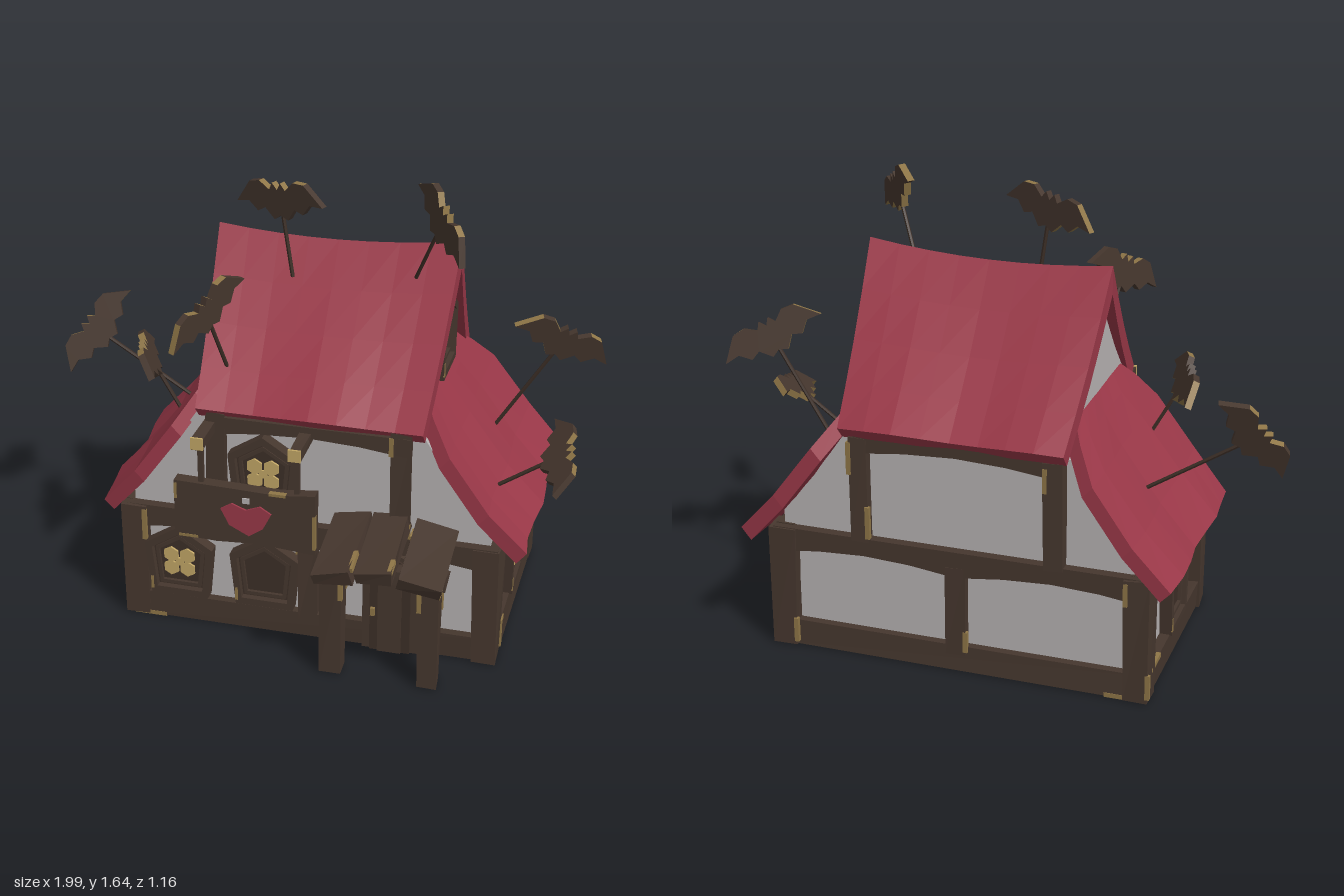
import * as THREE from 'three';

const mat = (name, color, side = THREE.FrontSide) =>
  Object.assign(new THREE.MeshStandardMaterial({ color, side, flatShading: true }), { name });

export function createModel() {
  const wood = mat('dark wood', 0x46372e);
  const panel = mat('shaded wood', 0x3d2f27);
  const worn = mat('worn wood edge', 0x8f7647);
  const gold = mat('pale gold', 0xc2a766);
  const red = mat('red roof', 0x9a3848);
  const plaster = mat('grey plaster', 0xb7b3b3, THREE.DoubleSide);

  const root = new THREE.Group();
  root.name = 'cottage';
  const house = new THREE.Group();
  house.name = 'house';
  house.position.x = 0.05;
  root.add(house);

  let seed = 7;
  const rnd = () => (seed = (seed * 16807) % 2147483647) / 2147483647;

  function add(parent, name, geo, material, x = 0, y = 0, z = 0) {
    const m = new THREE.Mesh(geo, material);
    m.name = name;
    m.position.set(x, y, z);
    parent.add(m);
    return m;
  }

  // Hand-hewn beam between two corners, with worn slivers on its edges
  function beam(parent, name, a, b, chips = 2, rough = 0.006) {
    const size = a.map((v, i) => b[i] - v), mid = a.map((v, i) => (b[i] + v) / 2);
    const geo = new THREE.BoxGeometry(...size), p = geo.attributes.position;
    const jig = Array.from({ length: 24 }, () => (rnd() - 0.5) * 2 * rough);
    for (let i = 0; i < p.count; i++) {
      const c = ((p.getX(i) > 0) + 2 * (p.getY(i) > 0) + 4 * (p.getZ(i) > 0)) * 3;
      const base = p.getY(i) + mid[1] < 0.001; // keep feet on the ground
      p.setXYZ(i, p.getX(i) + jig[c], p.getY(i) + (base ? 0 : jig[c + 1]), p.getZ(i) + jig[c + 2]);
    }
    const m = add(parent, name, geo, wood, ...mid);
    const long = size.indexOf(Math.max(...size));
    for (let k = 0; k < chips; k++) {
      const cs = size.map((s, i) => (i === long ? Math.min(0.12, s * (0.12 + 0.2 * rnd())) : 0.016));
      const pos = size.map((s, i) => (rnd() < 0.5 ? -1 : 1) * (s / 2 - cs[i] / 2 + (i === long ? -0.015 : 0.004)));
      add(m, 'wornEdge', new THREE.BoxGeometry(...cs), worn, ...pos);
    }
    return m;
  }

  const shape = (pts) => new THREE.Shape(pts.map(([x, y]) => new THREE.Vector2(x, y)));
  const mirrored = (half) => shape([...half, ...half.filter(([x]) => x > 0).reverse().map(([x, y]) => [-x, y])]);
  const extrude = (s, depth) => new THREE.ExtrudeGeometry(s, { depth, bevelEnabled: false });

  // Beam whose underside rises in an arch over each bay
  function archedBeam(name, x, y0, y1, z0, z1, bays) {
    const pts = [[x, y1], [-x, y1]], n = bays * 4;
    for (let i = 0; i <= n; i++) pts.push([-x + (2 * x * i) / n, y0 + 0.03 * Math.sin(((i % 4) / 4) * Math.PI)]);
    add(house, name, extrude(shape(pts), z1 - z0), wood, 0, 0, z0);
  }

  // ---- Plaster walls
  const outline = [[0.64, 0], [0.64, 0.5], [0.52, 0.65], [0.4, 0.83]];
  for (const z of [0.22, -0.49]) add(house, 'longWall', extrude(mirrored(outline), 0.02), plaster, 0, 0, z);
  for (const s of [-1, 1]) {
    add(house, 'sideWall', new THREE.BoxGeometry(0.02, 0.5, 0.7), plaster, s * 0.63, 0.25, -0.125);
    const gable = add(house, 'gableWall', extrude(shape([[-0.37, 0.83], [0.37, 0.83], [0, 1.3]]), 0.02), plaster, s * 0.37 - 0.01, 0, -0.13);
    gable.rotation.y = Math.PI / 2;
  }

  // ---- Timber frame
  for (const s of [-1, 1]) {
    const side = (name, x0, x1, y0, y1, z0, z1) =>
      beam(house, name, [Math.min(s * x0, s * x1), y0, z0], [Math.max(s * x0, s * x1), y1, z1]);
    side('frontCornerPost', 0.59, 0.68, 0, 0.45, 0.18, 0.285);
    side('backCornerPost', 0.59, 0.68, 0, 0.45, -0.535, -0.45);
    side('sideSill', 0.6, 0.675, 0, 0.1, -0.5, 0.25);
    side('sideTopBeam', 0.6, 0.67, 0.38, 0.45, -0.5, 0.25);
    side('upperFrontPost', 0.29, 0.36, 0.44, 0.85, 0.2, 0.275);
    side('upperBackPost', 0.31, 0.38, 0.44, 0.82, -0.53, -0.45);
  }
  for (const [z0, z1] of [[0.2, 0.275], [-0.525, -0.45]]) {
    beam(house, 'sill', [-0.66, 0, z0], [0.66, 0.09, z1]);
    archedBeam('floorBeam', 0.67, 0.355, 0.45, z0, z1, 2);
    archedBeam('eaveBeam', 0.36, 0.765, 0.835, z0, z1, 1);
    beam(house, 'middlePost', [-0.035, 0.06, z0], [0.04, 0.39, z1]);
  }

  // ---- Roofs: boxes bent by a rule
  function slab(name, nu, nv, f) {
    const geo = new THREE.BoxGeometry(1, 1, 1, nu, 1, nv), p = geo.attributes.position;
    for (let i = 0; i < p.count; i++) p.setXYZ(i, ...f(p.getX(i) * 2, p.getZ(i) * 2, p.getY(i) < 0));
    return add(house, name, geo, red);
  }
  slab('mainRoof', 8, 8, (u, v, under) => {
    const a = Math.abs(v), s = Math.sign(v);
    const wave = 0.012 * Math.sin(u * 5 + s) * a;
    const x = u * (0.43 - 0.035 * a) + 0.008;
    const y = 1.36 + 0.03 * u * u * (1 - a) + 0.008 * u * (1 - a) - 0.495 * a - 0.025 * Math.sin(a * Math.PI) + wave * 0.6;
    const z = -0.135 + s * (0.425 * a + wave);
    return under ? [x, y - 0.1 + 0.055 * a, z - s * 0.04 * a] : [x, y, z];
  });
  // slope rows: x, y, front z, back z
  const rows = [[0.37, 0.95, 0.12, -0.39], [0.42, 0.88, 0.2, -0.48], [0.49, 0.78, 0.272, -0.57],
    [0.63, 0.59, 0.285, -0.58], [0.76, 0.445, 0.26, -0.568]];
  for (const s of [1, -1]) {
    slab('sideRoof', 4, 7, (u, v, under) => {
      const [x, y, zf, zb] = rows[Math.round((u + 1) * 2)];
      const w = 0.005 * Math.sin(v * 6 + s) * (u + 1);
      const z = zb + (zf - zb) * (v + 1) / 2;
      return under ? [x + w - 0.035, y - 0.04, z] : [x + w, y + w * 0.5, z];
    }).scale.x = s;
  }

  // ---- Five-sided shuttered windows
  const pent = (k) => shape([[-0.105, 0], [0.105, 0], [0.125, 0.2], [0, 0.28], [-0.125, 0.2]]
    .map(([x, y]) => [x * k, 0.13 + (y - 0.13) * k]));
  const ring = (outer, inner) => { outer.holes.push(inner); return outer; };
  function windowAt(x, y, z, turn, flower) {
    const g = new THREE.Group();
    g.name = 'window';
    g.position.set(x, y, z);
    g.rotation.y = turn;
    add(g, 'windowFrame', extrude(ring(pent(1), pent(0.8)), 0.045), wood);
    add(g, 'shutter', extrude(pent(0.82), 0.02), panel);
    add(g, 'innerFrame', extrude(ring(pent(0.72), pent(0.62)), 0.032), wood);
    add(g, 'wornEdge', new THREE.BoxGeometry(0.01, 0.05, 0.006), worn, -0.102, 0.04, 0.044);
    if (flower) {
      // four touching petals
      for (const [px, py] of [[-1, -1], [1, -1], [-1, 1], [1, 1]]) {
        const leaf = add(g, 'goldPetal', new THREE.CylinderGeometry(0.03, 0.03, 0.008, 6), gold,
          px * 0.03, 0.135 + py * 0.027, 0.036);
        leaf.rotation.x = Math.PI / 2;
      }
      add(g, 'petalCentre', new THREE.BoxGeometry(0.03, 0.03, 0.008), gold, 0, 0.135, 0.036);
    }
    house.add(g);
  }
  windowAt(-0.47, 0.1, 0.24, 0, true);
  windowAt(-0.155, 0.1, 0.24, 0, false);
  windowAt(-0.155, 0.5, 0.24, 0, true);
  windowAt(0.64, 0.1, -0.13, Math.PI / 2, true);
  windowAt(-0.64, 0.1, -0.13, -Math.PI / 2, false);
  windowAt(0.365, 0.92, -0.13, Math.PI / 2, false);

  // ---- Door
  const arch = (k) => mirrored([[0.1 * k, 0], [0.1 * k, 0.27], [0.068 * k, 0.33 + 0.04 * k], [0, 0.36 + 0.04 * k]]);
  add(root, 'doorFrame', extrude(arch(1), 0.05), wood, 0.355, 0, 0.24);
  add(root, 'doorLeaf', extrude(arch(0.72), 0.008), panel, 0.355, 0, 0.29);
  add(root, 'doorPlank', extrude(arch(0.42), 0.007), wood, 0.355, 0, 0.298);
  add(root, 'doorKnob', new THREE.BoxGeometry(0.016, 0.03, 0.016), worn, 0.295, 0.16, 0.302);
  add(root, 'wornEdge', new THREE.BoxGeometry(0.05, 0.01, 0.008), worn, 0.335, 0.372, 0.29);

  // ---- Porch
  beam(root, 'porchLeg', [0.15, 0, 0.41], [0.225, 0.42, 0.48]);
  beam(root, 'porchLeg', [0.49, 0, 0.41], [0.56, 0.42, 0.48]);
  beam(root, 'porchBeam', [0.14, 0.39, 0.41], [0.58, 0.435, 0.47]);
  for (const x of [0.19, 0.525]) beam(root, 'porchBrace', [x - 0.025, 0.37, 0.25], [x + 0.025, 0.42, 0.34]).rotation.x = -0.6;
  for (const [x, w, y, z, tilt] of [[0.21, 0.14, 0.46, 0.4, 0.2], [0.35, 0.125, 0.48, 0.405, 0.12], [0.505, 0.15, 0.473, 0.42, -0.2]]) {
    const plank = beam(root, 'porchPlank', [x - w / 2, y - 0.025, z - 0.155], [x + w / 2, y + 0.025, z + 0.155]);
    plank.rotation.set(0.2, 0, tilt);
  }

  // ---- Hanging sign
  const board = extrude(shape([[-0.25, -0.1], [-0.1, -0.105], [0.05, -0.095], [0.25, -0.11], [0.25, 0.12],
    [0.12, 0.105], [-0.05, 0.11], [-0.25, 0.115]]), 0.045);
  add(root, 'signBoard', board, wood, -0.138, 0.525, 0.355);
  add(root, 'signEmblem', extrude(shape([[-0.09, 0.03], [-0.05, 0.055], [0, 0.035], [0.05, 0.055], [0.09, 0.03],
    [0.06, -0.03], [0.01, -0.065], [-0.06, -0.03]]), 0.007), red, -0.13, 0.525, 0.4);
  add(root, 'signStud', new THREE.BoxGeometry(0.025, 0.02, 0.007), plaster, -0.13, 0.595, 0.402);
  for (const [x, y, w, h] of [[-0.383, 0.6, 0.01, 0.06], [0.108, 0.5, 0.01, 0.13], [-0.02, 0.63, 0.06, 0.01], [-0.34, 0.428, 0.07, 0.01]])
    add(root, 'wornEdge', new THREE.BoxGeometry(w, h, 0.02), worn, x, y, 0.392);
  for (const x of [-0.295, 0.045]) {
    beam(root, 'signArm', [x - 0.02, 0.775, 0.24], [x + 0.02, 0.815, 0.415], 0, 0.002);
    add(root, 'armEnd', new THREE.BoxGeometry(0.044, 0.044, 0.008), gold, x, 0.8, 0.417);
    add(root, 'signHanger', new THREE.BoxGeometry(0.018, 0.16, 0.018), wood, x, 0.705, 0.378);
  }

  // ---- Bats on sticks: stick foot, one wing tip, other wing tip
  const batShape = mirrored([[0, 0.03], [0.018, 0.055], [0.035, 0.03], [0.075, 0.06], [0.12, 0.055], [0.19, -0.02],
    [0.135, -0.015], [0.1, -0.05], [0.065, -0.035], [0.03, -0.075], [0, -0.06]]);
  const bats = [
    [[-0.08, 1.25, -0.03], [-0.3, 1.5, -0.12], [0.05, 1.56, 0.04]],
    [[0.345, 1.28, -0.06], [0.36, 1.61, -0.09], [0.54, 1.45, 0.16]],
    [[-0.26, 0.98, 0.17], [-0.37, 1.15, 0.43], [-0.22, 1.31, 0.14]],
    [[-0.52, 0.64, -0.23], [-0.98, 0.74, -0.16], [-0.8, 1.01, -0.29]],
    [[-0.46, 0.71, 0.05], [-0.645, 0.92, -0.12], [-0.52, 0.945, 0.24]],
    [[0.6, 0.65, -0.23], [0.69, 1.12, -0.15], [0.99, 0.95, -0.29]],
    [[0.67, 0.58, 0.05], [0.86, 0.78, -0.12], [0.91, 0.68, 0.24]],
  ];
  for (const spec of bats) {
    const [foot, a, b] = spec.map((v) => new THREE.Vector3(...v));
    const mid = a.clone().add(b).multiplyScalar(0.5);
    const X = b.clone().sub(a).normalize();
    const Z = X.clone().cross(mid.clone().sub(foot)).normalize();
    const Y = Z.clone().cross(X);
    const geo = extrude(batShape, 0.024).translate(0, 0, -0.012);
    // some outline faces are worn
    const start = geo.groups[1].start, end = start + geo.groups[1].count;
    geo.clearGroups();
    geo.addGroup(0, start, 0);
    for (let i = start, n = 0; i < end; i += 6, n++) geo.addGroup(i, 6, n % 2);
    const bat = add(root, 'bat', geo, [wood, worn], ...mid);
    bat.quaternion.setFromRotationMatrix(new THREE.Matrix4().makeBasis(X, Y, Z));
    const stick = add(root, 'batStick', new THREE.CylinderGeometry(0.007, 0.007, foot.distanceTo(mid), 6), panel,
      ...foot.clone().add(mid).multiplyScalar(0.5));
    stick.quaternion.setFromUnitVectors(new THREE.Vector3(0, 1, 0), mid.clone().sub(foot).normalize());
  }
  return root;
}
